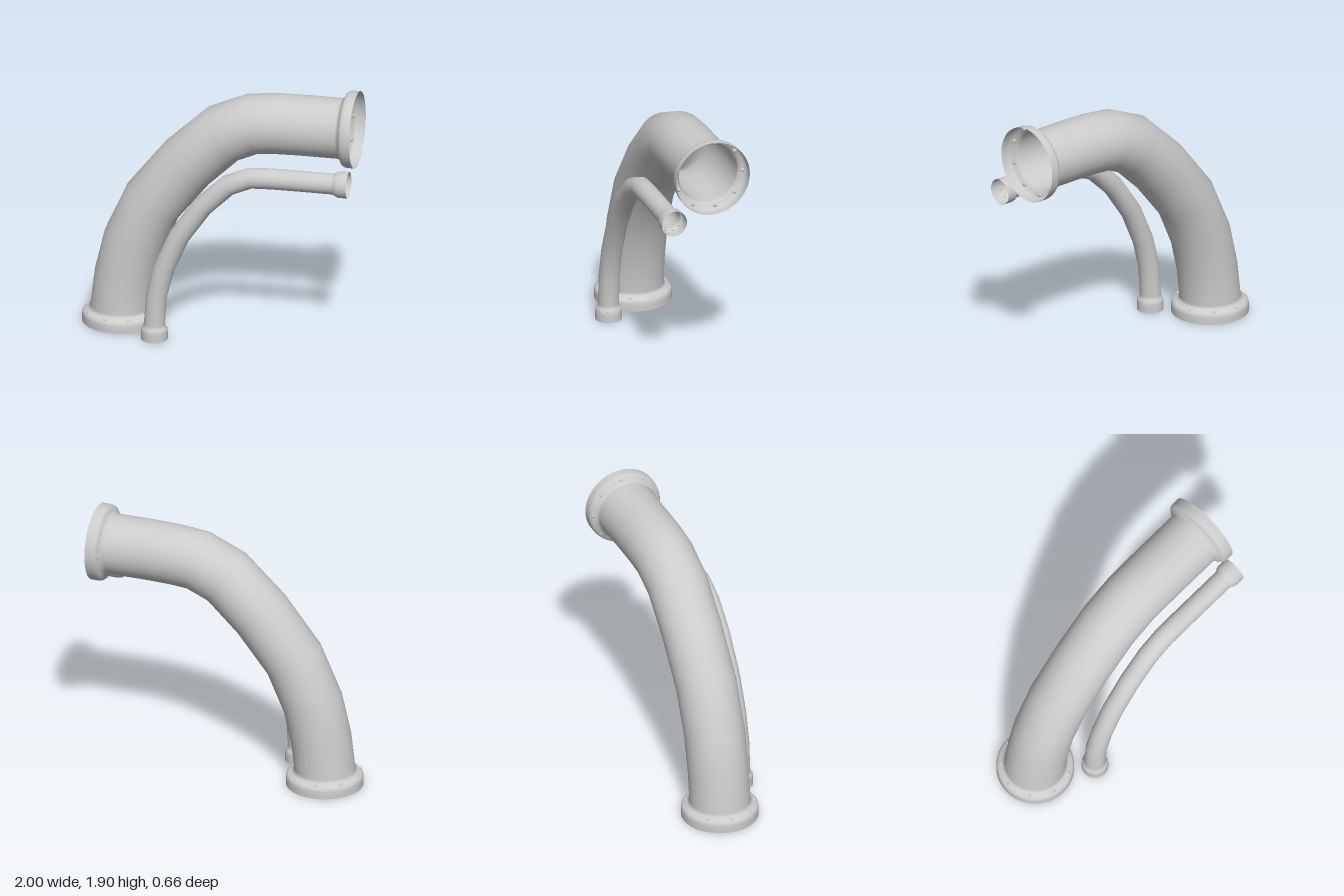
import * as THREE from 'three';

const SIDES = 56;
const BOLTS = 9;
const material = new THREE.MeshStandardMaterial({ color: 0xcccccc, side: THREE.DoubleSide });

// Point on a circle around a section: n lies in the bend plane, the other axis is z
function around(s, angle, r) {
  const c = Math.cos(angle) * r;
  return new THREE.Vector3(s.x - s.ty * c, s.y + s.tx * c, s.z + Math.sin(angle) * r);
}

// Open skin through a row of circular sections
function skin(sections) {
  const pos = [], index = [];
  sections.forEach((s, i) => {
    for (let j = 0; j < SIDES; j++) {
      pos.push(...around(s, (j / SIDES) * Math.PI * 2, s.r).toArray());
      if (i === sections.length - 1) continue;
      const a = i * SIDES + j, b = i * SIDES + ((j + 1) % SIDES);
      index.push(a, b, a + SIDES, b, b + SIDES, a + SIDES);
    }
  });
  const g = new THREE.BufferGeometry();
  g.setAttribute('position', new THREE.Float32BufferAttribute(pos, 3));
  g.setIndex(index);
  g.computeVertexNormals();
  return g;
}

// Ring of flattened bolt heads
function boltRing(name, s, r, size, offset) {
  const ring = new THREE.Group();
  ring.name = name;
  const geo = new THREE.SphereGeometry(1, 12, 8);
  const axis = new THREE.Vector3(s.tx, s.ty, 0);
  for (let k = 0; k < BOLTS; k++) {
    const angle = -Math.PI / 2 + offset + (k / BOLTS) * Math.PI * 2;
    const p = around(s, angle, r);
    const radial = p.clone().sub(new THREE.Vector3(s.x, s.y, s.z)).normalize();
    const bolt = new THREE.Mesh(geo, material);
    bolt.name = 'bolt';
    bolt.quaternion.setFromRotationMatrix(
      new THREE.Matrix4().makeBasis(radial, axis, radial.clone().cross(axis)));
    bolt.position.copy(p);
    bolt.scale.set(size * 0.9, size * 0.65, size);
    ring.add(bolt);
  }
  return ring;
}

// Bent pipe with a flared, bolted collar on both open ends
function pipe({ name, z, r, collar, bend, boltSize }) {
  const group = new THREE.Group();
  group.name = name;
  const x0 = bend[0][0], y1 = bend[bend.length - 1][1];
  const flare = [[0, 1], [0.03, 1], [0.055, 0.99], [0.072, 0.93], [0.083, 0.75],
    [0.092, 0.45], [0.102, 0.2], [0.12, 0]].map(([d, f]) => [d, r + (collar - r) * f]);

  const base = flare.map(([d, rad]) => ({ x: x0, y: d, z, r: rad, tx: 0, ty: 1 }));
  const end = flare.map(([d, rad]) => ({ x: 1 - d, y: y1, z, r: rad, tx: 1, ty: 0 })).reverse();
  const path = [[x0, 0.12], ...bend.slice(1), [0.88, y1]];
  const body = path.map(([x, y], i) => {
    if (i === 0) return base[base.length - 1];
    if (i === path.length - 1) return end[0];
    // tangent bisects the two neighbouring segments
    const p = new THREE.Vector2(x, y);
    const t = p.clone().sub(new THREE.Vector2(...path[i - 1])).normalize()
      .add(new THREE.Vector2(...path[i + 1]).sub(p).normalize()).normalize();
    return { x, y, z, r, tx: t.x, ty: t.y };
  });

  const tube = new THREE.Mesh(skin([...base, ...body.slice(1, -1), ...end]), material);
  tube.name = name + 'Shell';
  const boltR = r + (collar - r) * 0.5;
  group.add(
    tube,
    boltRing('baseBolts', { x: x0, y: 0.085, z, tx: 0, ty: 1 }, boltR, boltSize, 0.1),
    boltRing('endBolts', { x: 0.918, y: y1, z, tx: 1, ty: 0 }, boltR, boltSize, 0));
  return group;
}

export function createModel() {
  const model = new THREE.Group();
  model.name = 'bentPipes';
  model.add(
    pipe({
      name: 'largePipe', z: -0.055, r: 0.218, collar: 0.277, boltSize: 0.017,
      bend: [[-0.723, 0], [-0.695, 0.35], [-0.632, 0.62], [-0.49, 0.94], [-0.24, 1.255],
        [0.022, 1.503], [0.235, 1.597], [0.41, 1.615], [0.6, 1.62]],
    }),
    pipe({
      name: 'smallPipe', z: 0.238, r: 0.075, collar: 0.095, boltSize: 0.008,
      bend: [[-0.415, 0], [-0.4, 0.335], [-0.345, 0.555], [-0.233, 0.81], [-0.063, 1.055],
        [0.122, 1.233], [0.283, 1.302], [0.43, 1.31], [0.6, 1.312]],
    }));
  return model;
}
